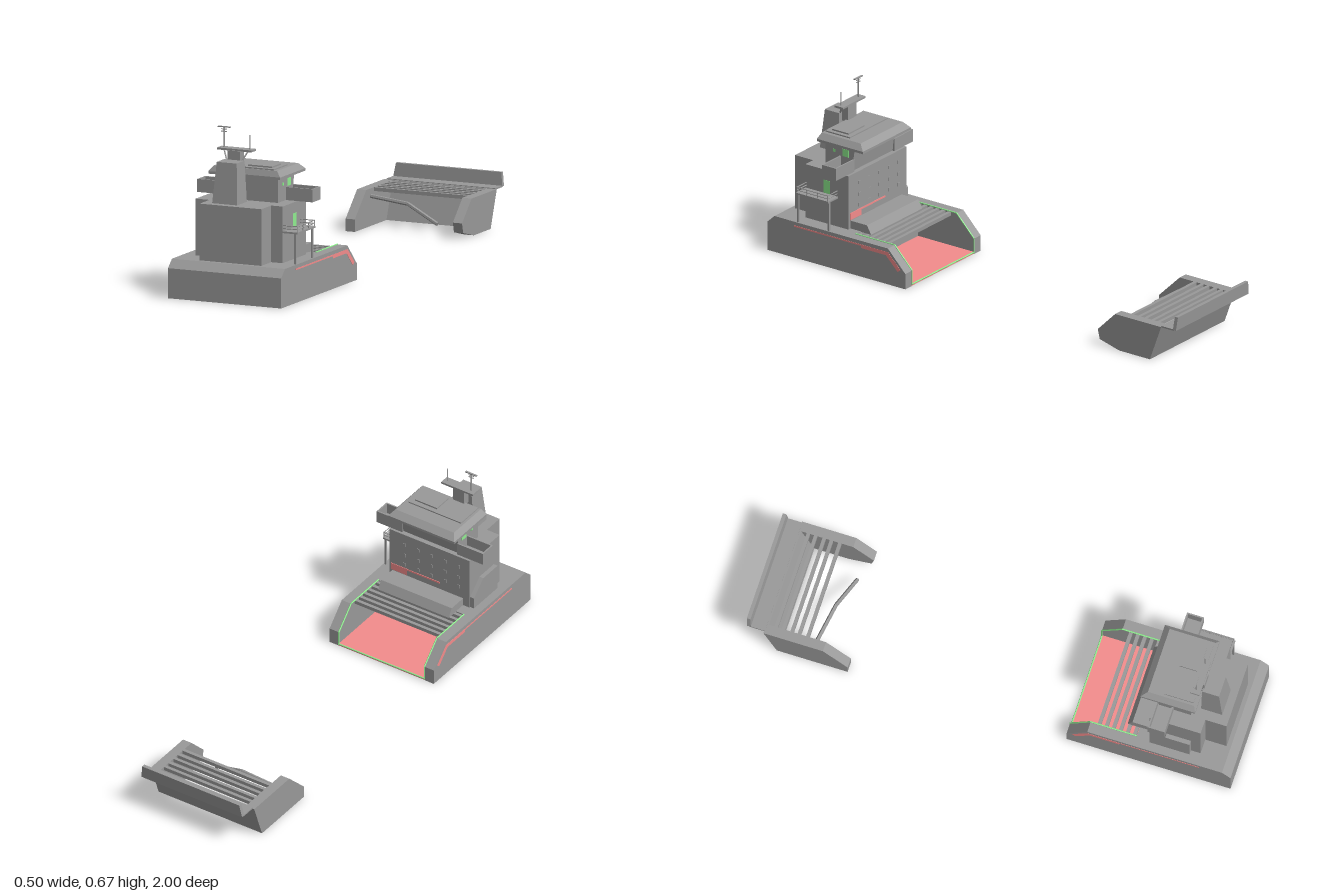
import * as THREE from 'three';

const mat = (color) => new THREE.MeshStandardMaterial({ color, side: THREE.DoubleSide, flatShading: true });
const GREY = mat(0x999999), RED = mat(0xf48c8c), GREEN = mat(0x90ee90);

export function createModel() {
  const root = new THREE.Group();
  const group = (name) => {
    const g = new THREE.Group();
    g.name = name;
    root.add(g);
    return g;
  };
  const add = (parent, name, geo, m = GREY) => {
    const mesh = new THREE.Mesh(geo, m);
    mesh.name = name;
    parent.add(mesh);
    return mesh;
  };
  // Box given by its limits
  const box = (parent, name, x0, x1, y0, y1, z0, z1, m) =>
    add(parent, name, new THREE.BoxGeometry(x1 - x0, y1 - y0, z1 - z0)
      .translate((x0 + x1) / 2, (y0 + y1) / 2, (z0 + z1) / 2), m);
  // Side profile of [z, y] points, extruded from x0 to x1
  const slab = (parent, name, pts, x0, x1, m) => {
    const shape = new THREE.Shape(pts.map(([z, y]) => new THREE.Vector2(-z, y)));
    const geo = new THREE.ExtrudeGeometry(shape, { depth: x1 - x0, bevelEnabled: false });
    return add(parent, name, geo.rotateY(Math.PI / 2).translate(x0, 0, 0), m);
  };
  // Box whose lower and upper ends have their own limits [x0, x1, z0, z1]
  const taper = (parent, name, y0, y1, low, high) => {
    const geo = new THREE.BoxGeometry(1, 1, 1), p = geo.attributes.position;
    for (let i = 0; i < p.count; i++) {
      const up = p.getY(i) > 0, r = up ? high : low;
      p.setXYZ(i, p.getX(i) > 0 ? r[1] : r[0], up ? y1 : y0, p.getZ(i) > 0 ? r[3] : r[2]);
    }
    geo.computeVertexNormals();
    return add(parent, name, geo);
  };
  // Round bar between two points
  const bar = (parent, name, a, b, r = 0.003, m = GREY) => {
    const va = new THREE.Vector3(...a), vb = new THREE.Vector3(...b);
    const d = vb.clone().sub(va);
    const mesh = add(parent, name, new THREE.CylinderGeometry(r, r, d.length(), 6), m);
    mesh.position.copy(va).add(vb).multiplyScalar(0.5);
    mesh.quaternion.setFromUnitVectors(new THREE.Vector3(0, 1, 0), d.normalize());
    return mesh;
  };

  // Stern hull: shell open underneath
  const hull = group('sternHull');
  const side = [[1, 0], [1, 0.12], [0.965, 0.152], [0.41, 0.152], [0.325, 0.065], [0.325, 0]];
  const gunwale = [[0.6, 0], [0.6, 0.152], [0.41, 0.152], [0.325, 0.065], [0.325, 0]];
  const edge = [[0.6, 0.153], [0.41, 0.153], [0.325, 0.066], [0.325, 0.004]];
  const stripe = [[0.87, 0.137], [0.41, 0.137], [0.348, 0.075], [0.362, 0.065],
    [0.42, 0.122], [0.54, 0.122], [0.54, 0.131], [0.87, 0.131]];
  for (const s of [-1, 1]) {
    const span = (a, b) => (s > 0 ? [a, b] : [-b, -a]);
    slab(hull, 'hullSide', side, ...span(0.24, 0.247));
    slab(hull, 'gunwale', gunwale, ...span(0.205, 0.24));
    // Trim along the inner broken edge
    const x = s * 0.203;
    for (let i = 0; i < 3; i++)
      bar(hull, 'edgeTrim', [x, edge[i][1], edge[i][0]], [x, edge[i + 1][1], edge[i + 1][0]], 0.003, GREEN);
    // Side stripe, thicker towards the slope
    slab(hull, 'sideStripe', stripe, ...span(0.2465, 0.248), RED);
  }
  box(hull, 'deck', -0.247, 0.247, 0.144, 0.152, 0.6, 0.965);
  slab(hull, 'sternWall', [[1, 0], [1, 0.12], [0.965, 0.152], [0.965, 0.144], [0.993, 0.118], [0.993, 0]], -0.247, 0.247);
  box(hull, 'holdFloor', -0.205, 0.205, 0.001, 0.008, 0.325, 0.6, RED);
  box(hull, 'holdBulkhead', -0.205, 0.205, 0.001, 0.15, 0.6, 0.605);
  bar(hull, 'floorTrim', [-0.205, 0.008, 0.325], [0.205, 0.008, 0.325], 0.003, GREEN);
  for (let i = 0; i < 6; i++) {
    const z = 0.445 + i * 0.029;
    box(hull, 'deckBeam', -0.205, 0.205, 0.135, 0.15, z - 0.007, z + 0.007);
  }

  // Deckhouse
  const house = group('deckhouse');
  box(house, 'lowerHouse', -0.195, 0.185, 0.15, 0.378, 0.65, 0.86);
  box(house, 'rearHouse', -0.135, 0.135, 0.15, 0.378, 0.86, 0.948);
  slab(house, 'forwardDeckBox', [[0.65, 0.15], [0.65, 0.185], [0.57, 0.185], [0.55, 0.15]], -0.165, 0.17);
  slab(house, 'sidePanel', [[0.82, 0.15], [0.82, 0.26], [0.72, 0.26], [0.655, 0.2], [0.655, 0.15]], -0.213, -0.195);
  for (const y of [0.235, 0.28, 0.33])
    for (let i = 0; i < 5; i++) {
      const x = -0.144 + i * 0.064;
      box(house, 'porthole', x - 0.006, x + 0.006, y - 0.007, y + 0.007, 0.648, 0.652);
    }
  box(house, 'frontPatch', 0.1, 0.175, 0.188, 0.218, 0.648, 0.651, RED);
  box(house, 'frontStripe', -0.055, 0.1, 0.211, 0.218, 0.648, 0.651, RED);
  box(house, 'sideWindow', 0.184, 0.186, 0.28, 0.335, 0.74, 0.77, GREEN);

  // Balcony with posts and rails
  const balcony = group('balcony');
  box(balcony, 'balconyFloor', 0.185, 0.25, 0.272, 0.279, 0.7, 0.86);
  for (const z of [0.705, 0.855]) {
    box(balcony, 'post', 0.235, 0.242, 0.15, 0.275, z - 0.004, z + 0.004);
    for (const y of [0.29, 0.302]) bar(balcony, 'endRail', [0.185, y, z], [0.247, y, z], 0.002);
  }
  for (let i = 0; i < 4; i++) bar(balcony, 'stanchion', [0.247, 0.275, 0.705 + i * 0.05], [0.247, 0.304, 0.705 + i * 0.05], 0.002);
  for (const y of [0.29, 0.302]) bar(balcony, 'sideRail', [0.247, y, 0.705], [0.247, y, 0.855], 0.002);

  // Wheelhouse with open bridge wings
  const bridge = group('wheelhouse');
  taper(bridge, 'cabin', 0.378, 0.48, [-0.133, 0.135, 0.67, 0.8], [-0.133, 0.135, 0.655, 0.8]);
  for (const s of [-1, 1]) {
    const part = (name, a, b, y0, y1, z0, z1, m) =>
      box(bridge, name, Math.min(s * a, s * b), Math.max(s * a, s * b), y0, y1, z0, z1, m);
    part('wingFloor', 0.13, 0.252, 0.378, 0.385, 0.66, 0.73);
    part('wingFront', 0.13, 0.252, 0.378, 0.43, 0.66, 0.666);
    part('wingBack', 0.13, 0.252, 0.378, 0.43, 0.724, 0.73);
    part('wingEnd', 0.246, 0.252, 0.378, 0.43, 0.66, 0.73);
    part('cabinWindow', 0.13, 0.136, 0.432, 0.463, 0.685, 0.715, GREEN);
    part('smallWindow', 0.13, 0.136, 0.44, 0.452, 0.75, 0.762, GREEN);
  }
  box(bridge, 'roofRim', -0.157, 0.157, 0.475, 0.485, 0.6, 0.825);
  taper(bridge, 'roof', 0.485, 0.508, [-0.157, 0.157, 0.6, 0.825], [-0.138, 0.138, 0.625, 0.815]);
  box(bridge, 'roofPanel', -0.128, 0.122, 0.505, 0.513, 0.69, 0.81);
  box(bridge, 'roofHatch', 0, 0.105, 0.505, 0.519, 0.71, 0.79);

  // Funnel and masts
  const funnel = group('funnelAndMasts');
  taper(funnel, 'funnel', 0.378, 0.541, [-0.095, 0.014, 0.83, 0.917], [-0.083, 0.004, 0.83, 0.9]);
  box(funnel, 'neck', -0.068, -0.014, 0.505, 0.577, 0.8, 0.835);
  box(funnel, 'mastPlatform', -0.116, 0.034, 0.576, 0.584, 0.79, 0.83);
  bar(funnel, 'strut', [-0.073, 0.54, 0.832], [-0.093, 0.578, 0.815]);
  bar(funnel, 'strut', [-0.006, 0.54, 0.832], [0.013, 0.578, 0.815]);
  bar(funnel, 'mainMast', [-0.095, 0.583, 0.81], [-0.095, 0.665, 0.81], 0.0035);
  box(funnel, 'crossBar', -0.121, -0.068, 0.663, 0.667, 0.806, 0.814);
  for (const y of [0.647, 0.656]) bar(funnel, 'yard', [-0.107, y, 0.81], [-0.083, y, 0.81], 0.002);
  bar(funnel, 'aerial', [0.018, 0.583, 0.81], [0.018, 0.641, 0.81], 0.0023);

  // Separate bow section
  const bow = group('bowSection');
  slab(bow, 'rightBowSide', [[-0.578, 0], [-0.578, 0.05], [-0.68, 0.15], [-0.925, 0.15], [-0.87, 0]], -0.245, -0.205);
  slab(bow, 'leftBowSide', [[-0.72, 0], [-0.625, 0.025], [-0.615, 0.065], [-0.7, 0.15], [-0.925, 0.15], [-0.87, 0]], 0.205, 0.245);
  slab(bow, 'bowPlate', [[-0.87, 0], [-0.925, 0.15], [-0.915, 0.15], [-0.86, 0]], -0.24, 0.24);
  box(bow, 'bowDeck', -0.235, 0.24, 0.147, 0.153, -0.985, -0.922);
  taper(bow, 'bulwark', 0.15, 0.206, [-0.235, 0.242, -0.995, -0.98], [-0.225, 0.235, -1, -0.985]);
  for (const z of [-0.885, -0.855, -0.82, -0.79, -0.755])
    box(bow, 'bowBeam', -0.207, 0.207, 0.135, 0.15, z - 0.007, z + 0.007);
  // Bent loose beam
  const bend = [[-0.207, 0.12, -0.72], [-0.03, 0.107, -0.695], [0.118, 0.045, -0.655]];
  for (let i = 0; i < 2; i++) bar(bow, 'bentBeam', bend[i], bend[i + 1], 0.008);

  return root;
}
